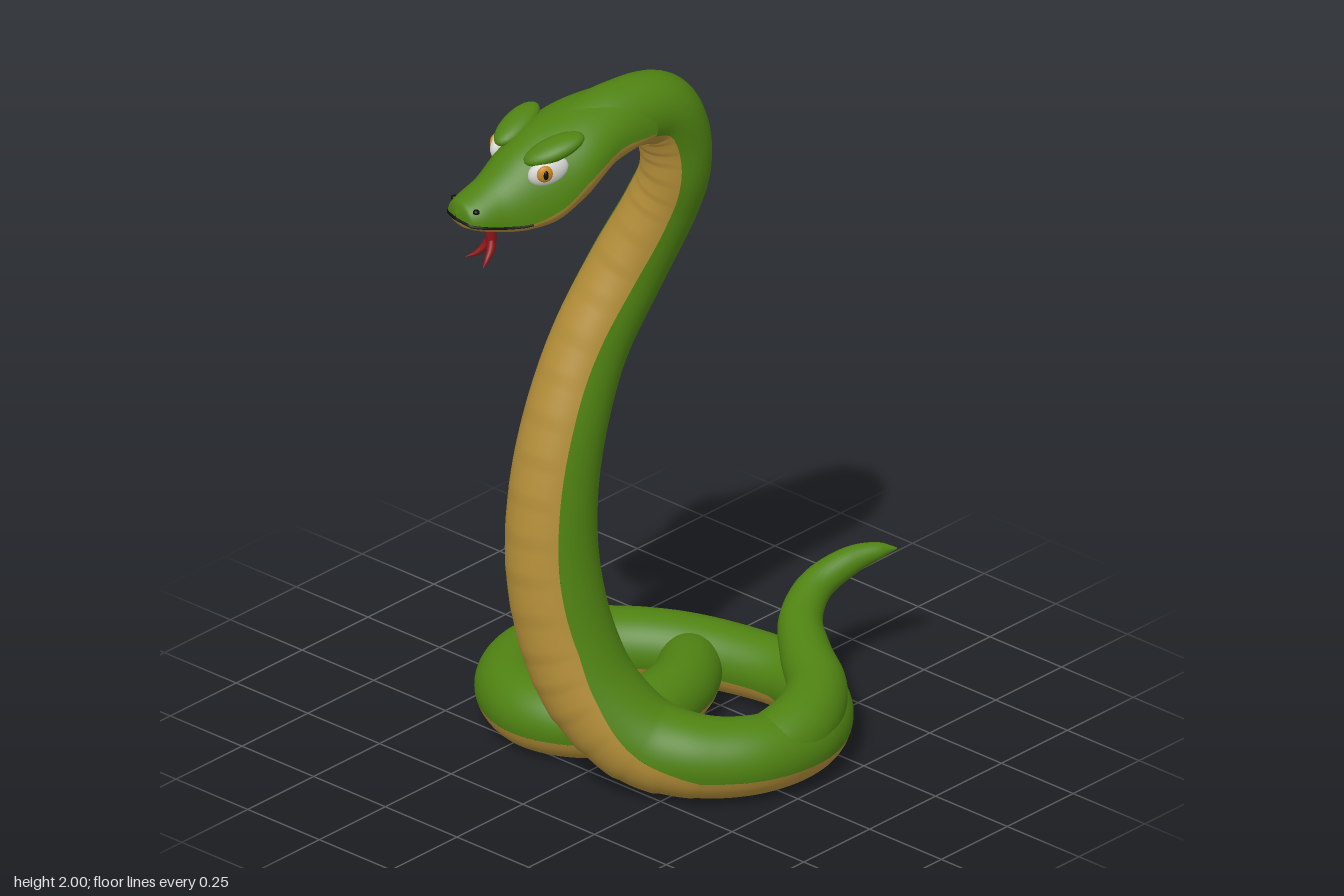
import * as THREE from 'three';

const mat = (name, color) => Object.assign(new THREE.MeshStandardMaterial({ color }), { name });
const V = (x, y, z) => new THREE.Vector3(x, y, z);

// Smooth surface from a function f(u, v) -> Vector3
function surface(f, nu, nv) {
  const pos = [], idx = [];
  for (let i = 0; i <= nu; i++)
    for (let j = 0; j <= nv; j++) pos.push(...f(i / nu, j / nv).toArray());
  for (let i = 0; i < nu; i++)
    for (let j = 0; j < nv; j++) {
      const a = i * (nv + 1) + j, c = a + nv + 1;
      idx.push(a, a + 1, c, a + 1, c + 1, c);
    }
  const g = new THREE.BufferGeometry();
  g.setAttribute('position', new THREE.Float32BufferAttribute(pos, 3));
  g.setIndex(idx);
  g.computeVertexNormals();
  return g;
}

// Sweep round sections along stations { p, r, b: belly direction, a: belly half angle }
function sweep(stations, side, steps, scaleEnd = 0) {
  const n = stations.length - 1;
  const path = new THREE.CatmullRomCurve3(stations.map(s => s.p));
  const data = new THREE.CatmullRomCurve3(stations.map((s, i) => V(s.r, s.a, i)));
  return surface((u, v) => {
    const i = Math.min(Math.floor(u * n), n - 1), k = u * n - i;
    const p = path.getPoint(u), t = path.getTangent(u), d = data.getPoint(u);
    const b = stations[i].b.clone().lerp(stations[i + 1].b, k);
    b.addScaledVector(t, -b.dot(t)).normalize();
    const s = t.clone().cross(b);
    const a = d.y;
    let phi = v * Math.PI * 2, r = d.x;
    if (side === 'belly') {
      phi = -a + 2 * a * v;
      // overlapping belly scales
      if (u * n < scaleEnd) r *= 1 + 0.035 * ((u * n * 2) % 1) * Math.sin(Math.PI * v);
    } else if (side === 'back') phi = a + (2 * Math.PI - 2 * a) * v;
    p.addScaledVector(b, r * Math.cos(phi)).addScaledVector(s, r * Math.sin(phi));
    p.y = Math.max(p.y, 0.005 * (1 - Math.min(1, r * 10)));
    return p;
  }, n * steps, side === 'belly' ? 16 : 26);
}

export function createModel() {
  const green = mat('skinGreen', 0x4f8212), gold = mat('bellyGold', 0xb28d38);
  const red = mat('tongueRed', 0x8c1518), white = mat('eyeWhite', 0xd6d6d2);
  const amber = mat('irisAmber', 0xc98a1e), black = mat('black', 0x0c0c0a);
  const model = new THREE.Group();
  model.name = 'snake';
  const add = (parent, name, geo, m) => {
    const mesh = new THREE.Mesh(geo, m);
    mesh.name = name;
    parent.add(mesh);
    return mesh;
  };

  // Body: neck arch, raised neck, then the coil on the ground
  const down = V(0, -1, 0), front = V(0, 0, 1);
  const st = (x, y, z, r, b = down, a = 1.3) => ({ p: V(x, y, z), r, b, a });
  const body = [
    st(0.03, 1.89, 0.36, 0.08, down, 1),
    st(0.065, 1.91, 0.22, 0.09, down, 1),
    st(0.085, 1.885, 0.08, 0.096, V(0, -1, 0.8), 0.95),
    st(0.09, 1.8, 0.028, 0.095, V(0, -0.4, 1), 0.9),
    st(0.085, 1.69, 0.015, 0.092, front, 0.9),
    st(0.048, 1.58, 0.025, 0.096, front, 0.9),
    st(-0.015, 1.4, 0.085, 0.102, front, 0.9),
    st(-0.055, 1.2, 0.187, 0.104, front, 0.9),
    st(-0.065, 1.0, 0.268, 0.11, front, 0.9),
    st(-0.065, 0.8, 0.315, 0.116, front, 0.9),
    st(-0.05, 0.6, 0.33, 0.122, front, 0.9),
    st(-0.005, 0.4, 0.318, 0.125, front, 0.95),
    st(0.06, 0.26, 0.29, 0.125, V(0, -0.4, 1), 1),
    st(0.17, 0.145, 0.23, 0.12, V(0, -1, 0.8), 1.1),
    st(0.3, 0.112, 0.15, 0.108),
    st(0.39, 0.105, 0.03, 0.102),
    st(0.405, 0.102, -0.12, 0.098),
    st(0.33, 0.098, -0.26, 0.092),
    st(0.18, 0.096, -0.35, 0.088),
    st(0.0, 0.096, -0.34, 0.09),
    st(-0.2, 0.098, -0.265, 0.095),
    st(-0.355, 0.1, -0.13, 0.097),
    st(-0.405, 0.1, 0.03, 0.097),
    st(-0.34, 0.1, 0.17, 0.098),
    st(-0.2, 0.1, 0.235, 0.098),
    st(-0.06, 0.1, 0.18, 0.096),
    st(0.005, 0.1, 0.04, 0.093),
    st(-0.01, 0.1, -0.1, 0.09),
    st(-0.08, 0.097, -0.22, 0.085),
    st(-0.14, 0.095, -0.28, 0.065),
  ];
  add(model, 'bodyBack', sweep(body, 'back', 10), green);
  add(model, 'bodyBelly', sweep(body, 'belly', 12, 14), gold);

  // Tail lifting off the coil
  const tail = [
    st(0.37, 0.1, 0.08, 0.08), st(0.405, 0.118, -0.02, 0.092),
    st(0.402, 0.143, -0.13, 0.09), st(0.34, 0.17, -0.245, 0.08),
    st(0.23, 0.2, -0.325, 0.068), st(0.137, 0.238, -0.405, 0.057),
    st(0.1, 0.285, -0.5, 0.047), st(0.13, 0.333, -0.6, 0.037),
    st(0.172, 0.352, -0.665, 0.022), st(0.2, 0.354, -0.702, 0.002),
  ];
  add(model, 'tail', sweep(tail, 'all', 8), green);

  // Head, turned slightly to its right; local z runs along the head
  const head = new THREE.Group();
  head.name = 'head';
  head.position.set(0.08, 0, 0.15);
  head.rotation.y = -0.23;
  model.add(head);
  const hz = z => (z - 0.15) / 0.973;
  // z, half width, top, bottom, lip height
  const sections = [
    [0.15, 0.092, 1.995, 1.84, 1.875], [0.28, 0.122, 1.985, 1.8, 1.88],
    [0.38, 0.145, 1.965, 1.725, 1.835], [0.46, 0.138, 1.94, 1.692, 1.772],
    [0.54, 0.114, 1.895, 1.692, 1.738], [0.6, 0.089, 1.845, 1.7, 1.736],
    [0.66, 0.072, 1.812, 1.718, 1.746], [0.69, 0.052, 1.797, 1.732, 1.752],
    [0.702, 0.002, 1.768, 1.752, 1.757],
  ];
  const shape = new THREE.CatmullRomCurve3(sections.map(s => V(s[1], s[2], s[3])));
  const line = new THREE.CatmullRomCurve3(sections.map(s => V(0, s[4], hz(s[0]))));
  const headHalf = upper => surface((u, v) => {
    const d = shape.getPoint(u), l = line.getPoint(u);
    const phi = Math.PI * (upper ? v : 1 + v);
    const h = upper ? d.y - l.y : l.y - d.z;
    return V((upper ? 1 : 0.96) * d.x * Math.cos(phi), l.y + h * Math.sin(phi), l.z);
  }, 48, 24);
  add(head, 'upperHead', headHalf(true), green);
  add(head, 'lowerJaw', headHalf(false), gold);

  // Mouth line around the snout
  const lip = [];
  for (let i = -14; i <= 14; i++) {
    const u = 1 - 0.5 * Math.abs(i) / 14, l = line.getPoint(u);
    lip.push(V(Math.sign(i) * 0.985 * shape.getPoint(u).x, l.y - 0.002, l.z));
  }
  add(head, 'mouthLine', new THREE.TubeGeometry(new THREE.CatmullRomCurve3(lip), 80, 0.0045, 6), black);

  // Eyes, brows and nostrils, mirrored
  const ball = (name, m, p, s, rx = 0, ry = 0) => {
    const e = add(head, name, new THREE.SphereGeometry(1, 24, 16), m);
    e.position.set(p[0], p[1], hz(p[2]));
    e.scale.set(...s);
    e.rotation.set(rx, ry, 0);
  };
  for (const s of [-1, 1]) {
    const ry = -s * 0.3;
    ball('eye', white, [s * 0.096, 1.868, 0.485], [0.027, 0.04, 0.056], 0.25, s * -0.25);
    ball('iris', amber, [s * 0.112, 1.872, 0.505], [0.011, 0.023, 0.022], 0, ry);
    ball('pupil', black, [s * 0.118, 1.872, 0.507], [0.008, 0.014, 0.008], 0, ry);
    ball('brow', green, [s * 0.085, 1.92, 0.46], [0.043, 0.026, 0.085], 0.35, ry);
    ball('nostril', black, [s * 0.05, 1.785, 0.672], [0.009, 0.007, 0.009]);
  }

  // Forked tongue
  const tz = (x, y, z, r) => st(x, y, hz(z), r, front);
  add(head, 'tongueStem', sweep([
    tz(0, 1.735, 0.6, 0.013), tz(0, 1.7, 0.597, 0.015), tz(0, 1.655, 0.595, 0.014), tz(0, 1.64, 0.602, 0.006),
  ], 'all', 5), red);
  for (const s of [-1, 1])
    add(head, 'tongueFork', sweep([
      tz(0, 1.675, 0.594, 0.009), tz(s * 0.012, 1.645, 0.602, 0.011),
      tz(s * 0.024, 1.622, 0.622, 0.007), tz(s * 0.04, 1.61, 0.645, 0.001),
    ], 'all', 5), red);

  return model;
}
